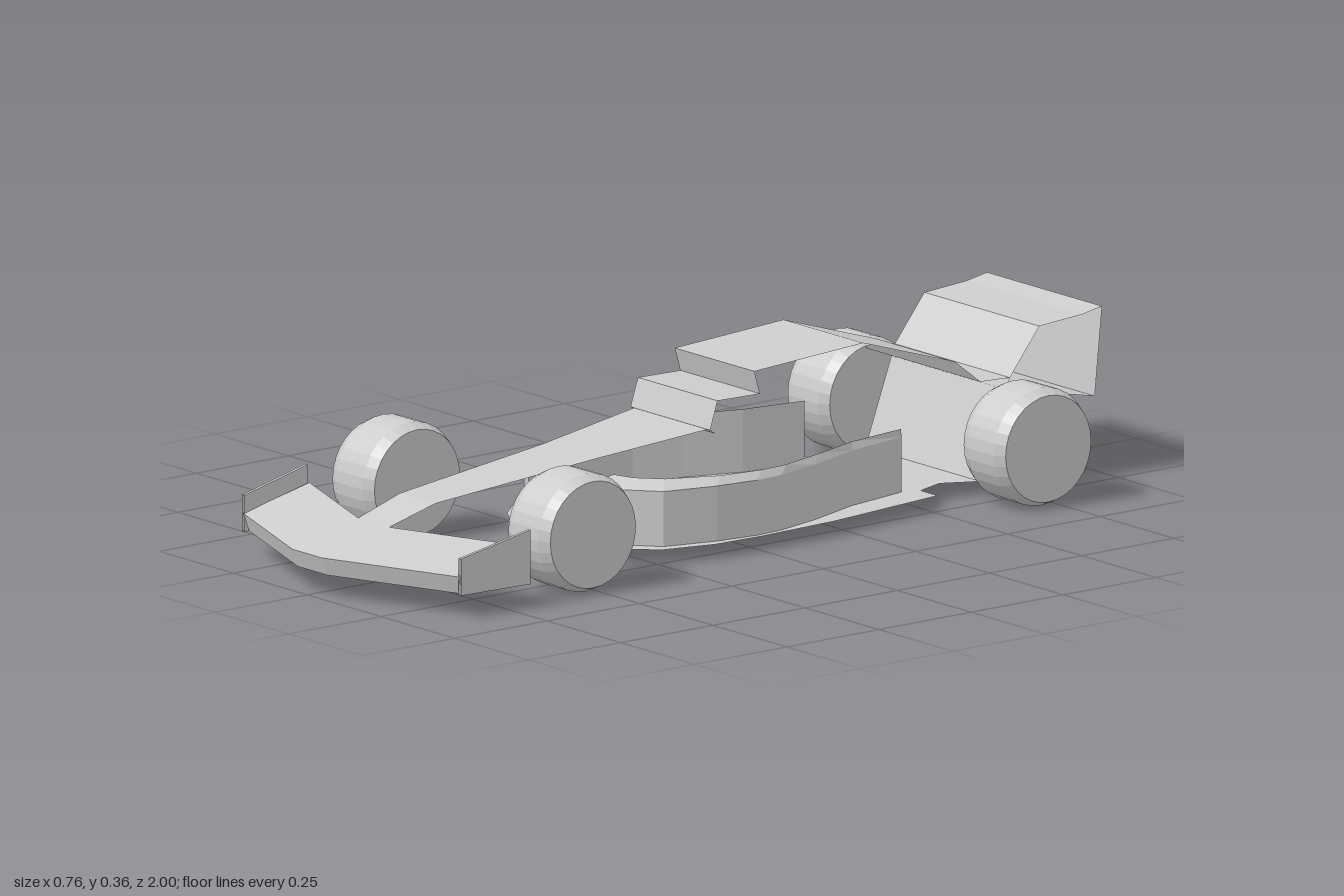
import * as THREE from 'three';

const paint = new THREE.MeshStandardMaterial({ color: 0xcccccc, side: THREE.DoubleSide, flatShading: true });
paint.name = 'light grey';

function add(parent, name, geometry) {
  const mesh = new THREE.Mesh(geometry, paint);
  mesh.name = name;
  parent.add(mesh);
  return mesh;
}

// Skin between successive cross-sections, each a list of [x, y, z].
function loft(sections) {
  const pos = [], index = [], n = sections[0].length;
  sections.forEach((s) => s.forEach((p) => pos.push(...p)));
  for (let i = 0; i < sections.length - 1; i++) {
    for (let j = 0; j < n - 1; j++) {
      const a = i * n + j, b = a + 1, c = a + n, d = c + 1;
      index.push(a, c, b, b, c, d);
    }
  }
  const g = new THREE.BufferGeometry();
  g.setAttribute('position', new THREE.Float32BufferAttribute(pos, 3));
  g.setIndex(index);
  const flat = g.toNonIndexed();
  flat.computeVertexNormals();
  return flat;
}

// Symmetrical sheet along z; rows are [z, y, half width].
const ribbon = (rows) => loft(rows.map(([z, y, w]) => [[w, y, z], [-w, y, z]]));

export function createModel() {
  const car = new THREE.Group();
  car.name = 'racingCar';
  const floorY = 0.031;

  // Nose, from the cockpit to the front wing
  add(car, 'nose', ribbon([
    [0.82, 0.13, 0.053], [0.7, 0.165, 0.06], [0.29, 0.205, 0.088], [0.01, 0.235, 0.125],
  ]));

  // Cockpit step, air intake, engine cover and its flared tail
  add(car, 'engineCover', ribbon([
    [0, 0.225, 0.135], [0.015, 0.235, 0.135], [-0.005, 0.296, 0.135], [-0.12, 0.294, 0.135],
    [-0.105, 0.345, 0.135], [-0.4, 0.362, 0.135], [-0.65, 0.283, 0.135], [-0.67, 0.248, 0.195],
    [-0.75, 0.245, 0.195],
  ]));

  // Flat floor and its waisted tail
  add(car, 'floor', ribbon([
    [0.375, 0.05], [0.36, 0.095], [0.29, 0.21], [0.24, 0.255],
    [0.12, 0.286], [0, 0.29], [-0.21, 0.28], [-0.52, 0.238],
  ].map(([z, w]) => [z, floorY, w])));
  add(car, 'tailFloor', ribbon([
    [-0.52, floorY, 0.18], [-0.59, floorY, 0.155], [-0.67, floorY, 0.195],
  ]));

  // Rear bulkhead rising from the floor to the wing
  add(car, 'rearBulkhead', ribbon([[-0.67, floorY, 0.195], [-0.75, 0.245, 0.195]]));

  // Hollow rear wing, open at both sides
  add(car, 'rearWing', ribbon([
    [-0.75, 0.245, 0.195], [-0.83, 0.345, 0.195], [-0.945, 0.353, 0.195],
    [-1, 0.363, 0.195], [-0.98, 0.17, 0.195], [-0.74, 0.22, 0.195],
  ]));

  // Curved side pods: [outer x, outer z, inner x, inner z]
  const podPath = [
    [0.1, 0.32, 0.1, 0.25], [0.164, 0.28, 0.15, 0.235], [0.233, 0.22, 0.2, 0.19],
    [0.265, 0.1, 0.25, 0.08], [0.277, 0, 0.264, -0.02], [0.272, -0.07, 0.26, -0.09],
    [0.243, -0.185, 0.228, -0.2], [0.195, -0.32, 0.185, -0.33], [0.165, -0.48, 0.163, -0.48],
  ];
  for (const side of [1, -1]) {
    const label = side > 0 ? 'left' : 'right';
    add(car, label + 'SidePod', loft(podPath.map(([ox, oz, ix, iz]) => [
      [side * ox, floorY, oz], [side * ox, 0.151, oz], [side * ix, 0.168, iz], [side * ix, floorY, iz],
    ])));

    // Front wing end plate, splayed outward to the rear: [z, top, outer x]
    add(car, label + 'EndPlate', loft([[0.88, 0.13, 0.371], [0.7, 0.168, 0.381]].map(([z, top, x]) => {
      const outer = side * x, inner = side * (x - 0.008);
      return [[inner, 0.05, z], [outer, 0.05, z], [outer, top, z], [inner, top, z], [inner, 0.05, z]];
    })));
  }

  // Swept front wing with an undercut leading edge
  add(car, 'frontWing', loft([-0.367, -0.05, 0.05, 0.367].map((x) => {
    const sweep = Math.abs(x) > 0.1 ? 0.12 : 0;
    return [[x, 0.05, 0.985 - sweep], [x, 0.09, 1 - sweep], [x, 0.13, 0.82 - sweep], [x, 0.05, 0.985 - sweep]];
  })));

  // Wheels with bevelled shoulders
  const tyre = new THREE.LatheGeometry([
    [0, -0.071], [0.116, -0.071], [0.128, -0.045], [0.128, 0.045], [0.116, 0.071], [0, 0.071],
  ].map(([r, h]) => new THREE.Vector2(r, h)), 32);
  tyre.rotateZ(Math.PI / 2);
  for (const [end, z] of [['front', 0.52], ['rear', -0.715]]) {
    for (const side of [1, -1]) {
      const wheel = add(car, end + (side > 0 ? 'Left' : 'Right') + 'Wheel', tyre);
      wheel.position.set(side * 0.298, 0.128, z);
    }
  }
  return car;
}
